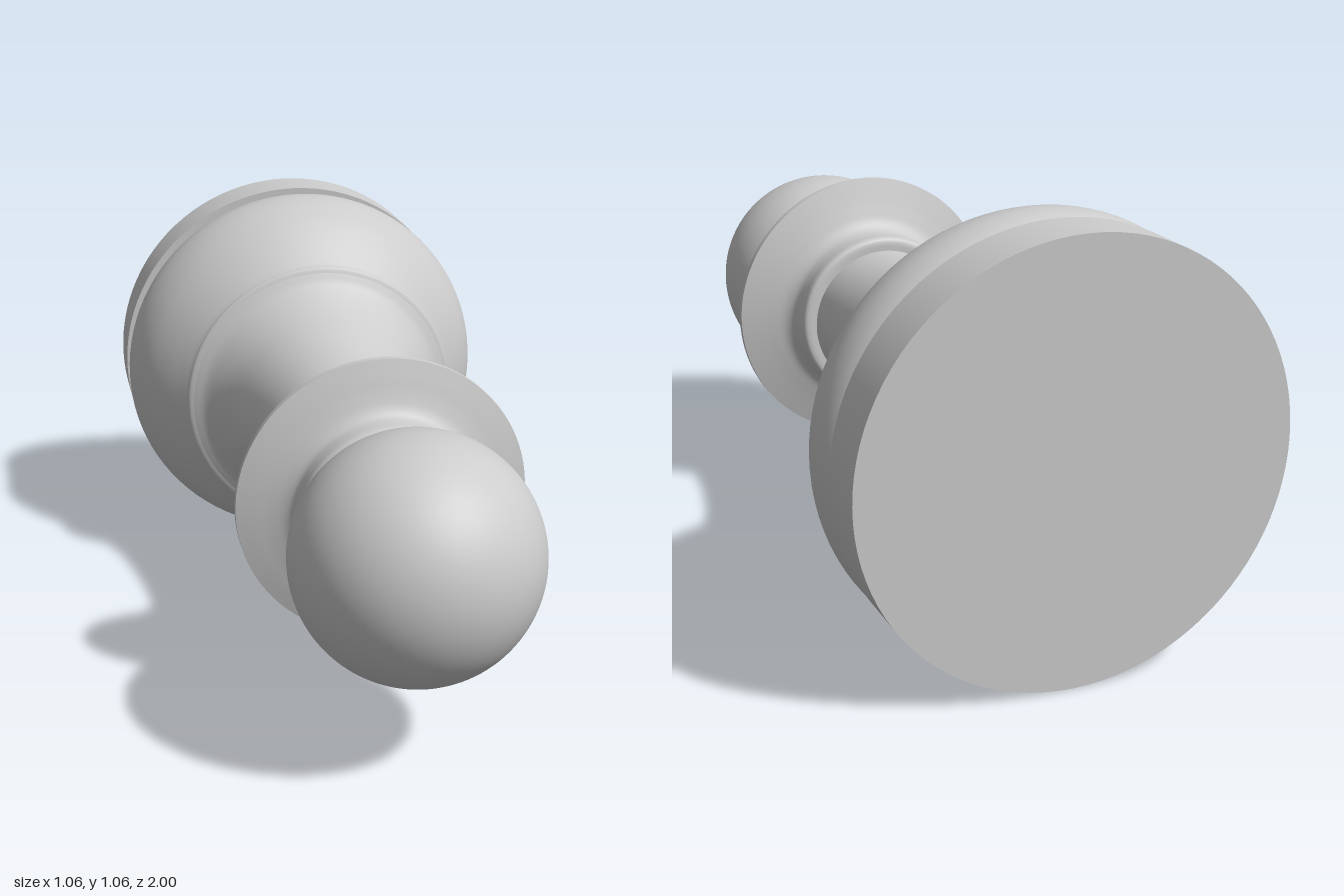
import * as THREE from 'three';

const SEGMENTS = 96;
const AXIS_Y = 0.532;

export function createModel() {
  const model = new THREE.Group();
  const pawn = new THREE.Group();
  pawn.name = 'pawn';
  // The pawn is turned upright, then laid down with its head toward +z
  pawn.rotation.x = Math.PI / 2;
  pawn.position.y = AXIS_Y;
  model.add(pawn);

  const material = new THREE.MeshStandardMaterial({ color: 0xcccccc });

  function add(name, geometry, y = 0) {
    const mesh = new THREE.Mesh(geometry, material);
    mesh.name = name;
    mesh.position.y = y;
    pawn.add(mesh);
  }

  // Smooth profile through [radius, height] points
  function curve(points, steps) {
    const spline = new THREE.CatmullRomCurve3(
      points.map(([r, y]) => new THREE.Vector3(r, y, 0)), false, 'centripetal');
    return spline.getPoints(steps).map(p => new THREE.Vector2(p.x, p.y));
  }

  function turned(name, points, steps) {
    add(name, new THREE.LatheGeometry(curve(points, steps), SEGMENTS));
  }

  // Base disc
  add('baseDisc', new THREE.CylinderGeometry(0.53, 0.53, 0.144, SEGMENTS), -0.928);

  // Rounded foot, ending in a small lip
  turned('foot', [
    [0.485, -0.858], [0.505, -0.835], [0.524, -0.8], [0.531, -0.75], [0.519, -0.69],
    [0.49, -0.63], [0.445, -0.575], [0.4, -0.53], [0.377, -0.505], [0.373, -0.488],
    [0.381, -0.465], [0.391, -0.45], [0.388, -0.443], [0.37, -0.435],
  ], 60);

  // Flared stem
  turned('stem', [
    [0.375, -0.437], [0.345, -0.42], [0.315, -0.385], [0.285, -0.335], [0.26, -0.27],
    [0.235, -0.18], [0.217, -0.08], [0.203, 0.03], [0.197, 0.13], [0.196, 0.21],
  ], 40);

  // Collar: lower band, thin flange and upper band
  turned('collarLower', [
    [0.19, 0.201], [0.222, 0.202], [0.231, 0.21], [0.232, 0.25], [0.237, 0.277],
    [0.255, 0.295], [0.29, 0.309], [0.33, 0.322], [0.372, 0.335],
  ], 40);
  add('collarRim', new THREE.CylinderGeometry(0.372, 0.372, 0.017, SEGMENTS, 1, true), 0.3435);
  turned('collarUpper', [
    [0.372, 0.352], [0.33, 0.364], [0.29, 0.375], [0.255, 0.388], [0.238, 0.402],
    [0.233, 0.425], [0.23, 0.447], [0.222, 0.457], [0.18, 0.462],
  ], 40);

  // Ball head
  add('head', new THREE.SphereGeometry(0.303, SEGMENTS, 48), 0.697);

  return model;
}
